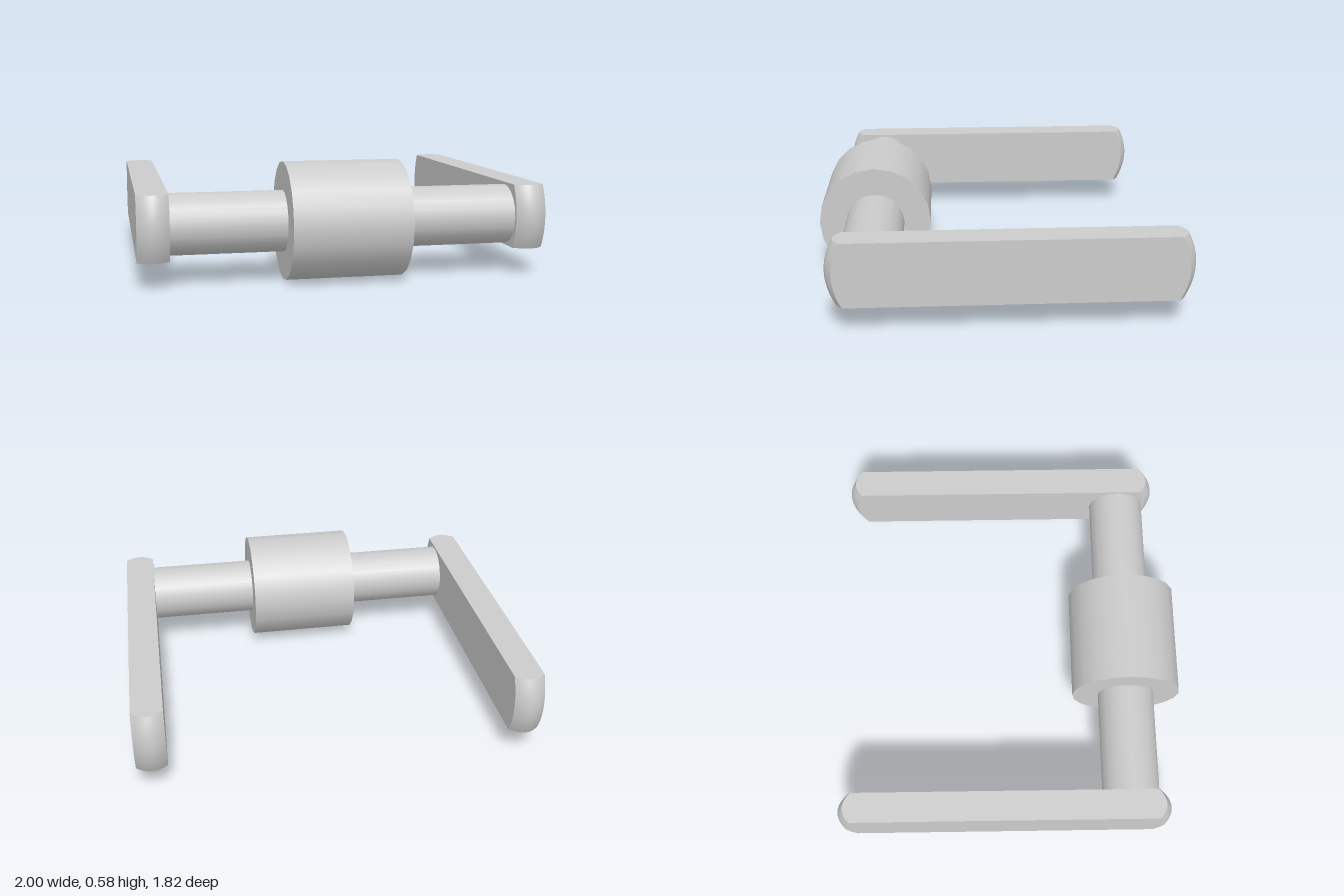
import * as THREE from 'three';

const material = new THREE.MeshStandardMaterial({ color: 0xcccccc });
const AXIS_Y = 0.289, AXIS_Z = 0.624;

// Cylinder lying along x on the shared axis
function barrel(name, radius, x0, x1) {
  const geo = new THREE.CylinderGeometry(radius, radius, x1 - x0, 20);
  geo.rotateZ(Math.PI / 2);
  const mesh = new THREE.Mesh(geo, material);
  mesh.name = name;
  mesh.position.set((x0 + x1) / 2, AXIS_Y, AXIS_Z);
  return mesh;
}

// Flat bar whose two ends bulge across both width and height
function arm(name, side) {
  const w = 0.152, h = 0.318, front = 0.747, back = -0.823;
  const geo = new THREE.BoxGeometry(w, h, 2, 10, 12, 1);
  const p = geo.attributes.position;
  for (let i = 0; i < p.count; i++) {
    const u = p.getX(i) / (w / 2), v = p.getY(i) / (h / 2);
    const bulge = 0.038 * (1 - u * u) + 0.043 * (1 - v * v);
    p.setZ(i, p.getZ(i) > 0 ? front + bulge : back - bulge);
  }
  geo.computeVertexNormals();
  const mesh = new THREE.Mesh(geo, material);
  mesh.name = name;
  mesh.position.set(side * (1 - w / 2), AXIS_Y + 0.002, 0);
  return mesh;
}

export function createModel() {
  const model = new THREE.Group();
  model.name = 'rollerFork';
  model.add(
    barrel('roller', 0.289, -0.292, 0.285),
    barrel('axle', 0.15, -0.86, 0.86),
    arm('leftArm', 1),
    arm('rightArm', -1),
  );
  return model;
}
